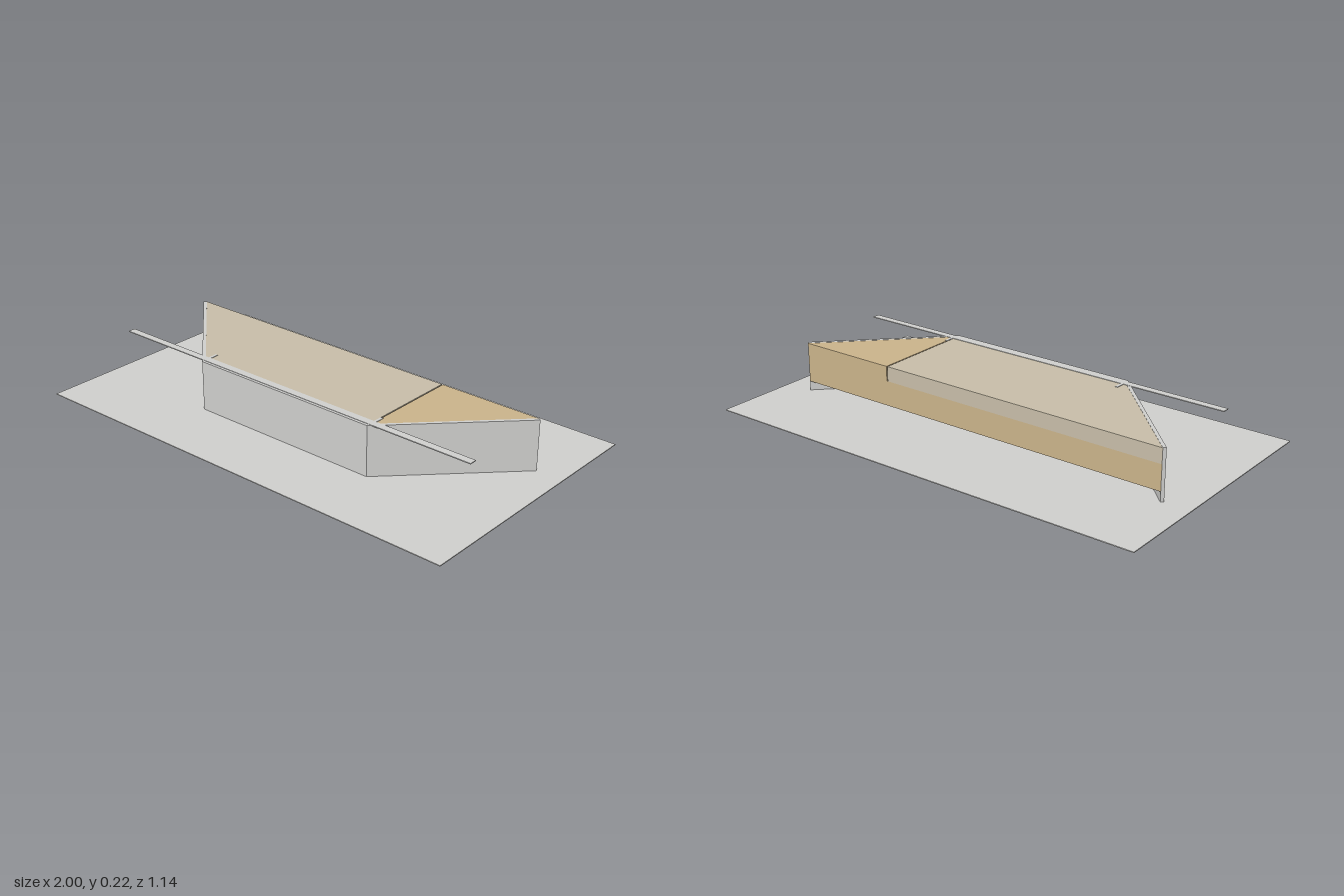
import * as THREE from 'three';

const TOP = 0.217;

export function createModel() {
  const group = new THREE.Group();
  const mat = (name, color) => {
    const m = new THREE.MeshStandardMaterial({ color });
    m.name = name;
    return m;
  };
  const grey = mat('light grey', 0xd0d0ce);
  const tan = mat('tan wood', 0xcbb48b);
  const beige = mat('grey beige', 0xc8bea9);

  // Upright prism from a plan outline of [x, z] points between two heights
  const prism = (name, material, outline, y0, y1) => {
    const shape = new THREE.Shape(outline.map(([x, z]) => new THREE.Vector2(x, -z)));
    const geo = new THREE.ExtrudeGeometry(shape, { depth: y1 - y0, bevelEnabled: false });
    geo.rotateX(-Math.PI / 2);
    geo.translate(0, y0, 0);
    const mesh = new THREE.Mesh(geo, material);
    mesh.name = name;
    group.add(mesh);
  };
  const rect = (x0, x1, z0, z1) => [[x0, z0], [x0, z1], [x1, z1], [x1, z0]];

  // Thin floor sheet
  prism('floor', grey, rect(-1, 1, -0.57, 0.57), 0, 0.004);

  // Front panel and the two slanted side panels
  prism('frontPanel', grey, rect(-0.43, 0.43, 0.253, 0.265), 0.004, TOP + 0.001);
  for (const s of [1, -1]) {
    const side = s > 0 ? 'left' : 'right';
    prism(side + 'Wing', grey,
      [[0.43, 0.265], [0.885, -0.19], [0.875, -0.2], [0.42, 0.255]].map(([x, z]) => [s * x, z]),
      0.004, TOP + 0.001);
    // Short tab where the trim strip meets the body
    prism(side + 'Tab', grey, rect(s * 0.432 - 0.006, s * 0.432 + 0.006, 0.18, 0.222), TOP, TOP + 0.002);
  }

  // Raised body: full-width lower part, plus a taller wedge on the left
  prism('lowerBody', tan, [[-0.875, -0.2], [-0.425, 0.25], [0.425, 0.25], [0.875, -0.2]], 0.045, 0.153);
  prism('sideWedge', tan, [[0.43, -0.2], [0.43, 0.245], [0.875, -0.2]], 0.153, TOP);

  // Top slab over the rest of the body
  prism('topSlab', beige, [[-0.875, -0.2], [-0.425, 0.25], [0.425, 0.25], [0.425, -0.2]], 0.153, TOP);

  // Long flat trim strip along the front edge
  prism('trimStrip', grey, rect(-0.885, 0.885, 0.22, 0.252), TOP - 0.002, TOP + 0.002);

  return group;
}
